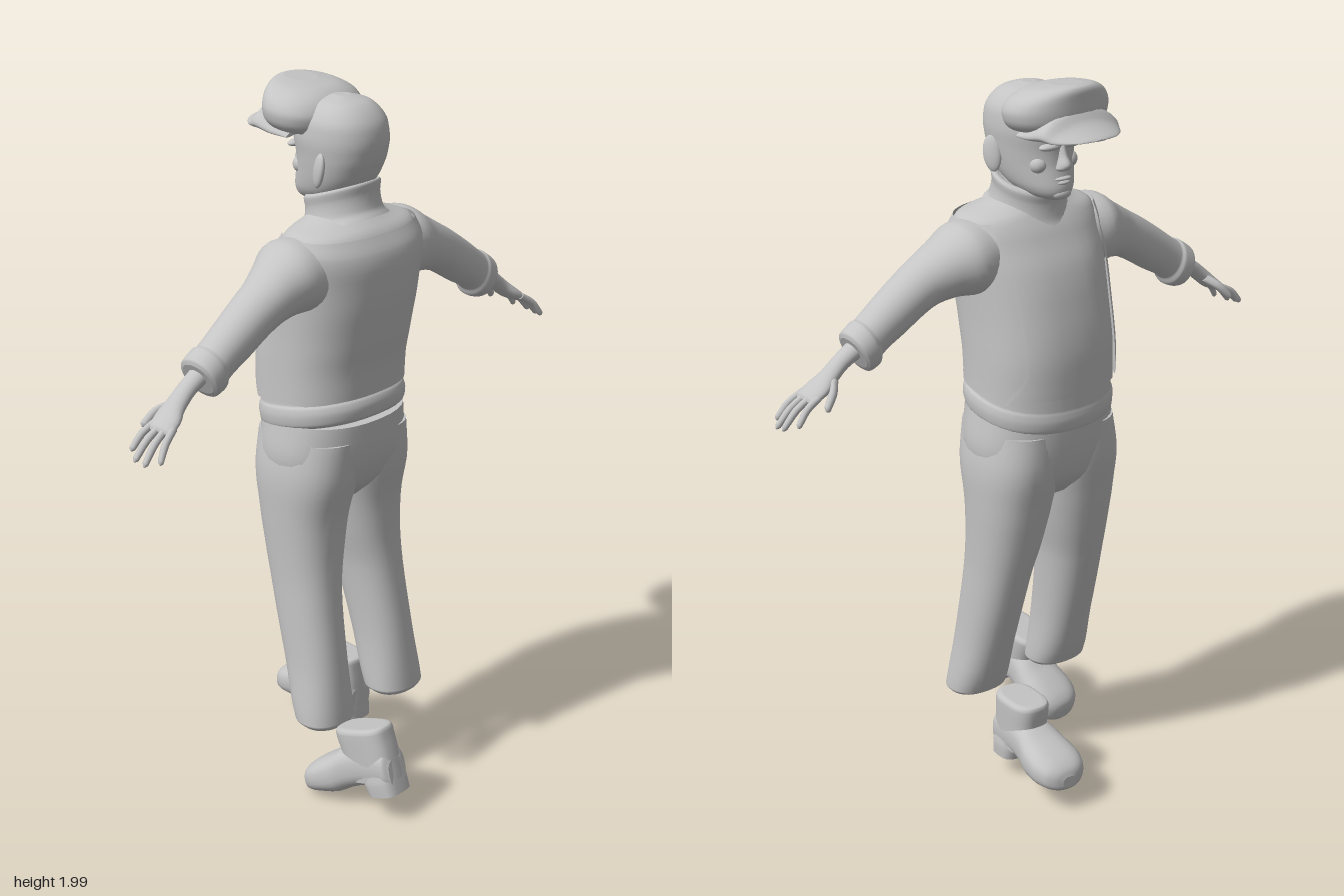
import * as THREE from 'three';

const grey = new THREE.MeshStandardMaterial({ color: 0xc4c4c4, side: THREE.DoubleSide });
grey.name = 'plain grey';

// A ring is [centre, axis u, axis v, roundness, egg taper, half sweep angle]
const ring = (c, u, v, p = 2, e = 0, a = Math.PI) => [...c, ...u, ...v, p, e, a];
// Level ring from its extents; slope tips it along x
const level = (y, x0, x1, z0, z1, p = 2, slope = 0, e = 0, a = Math.PI) => {
  const h = (x1 - x0) / 2;
  return ring([(x0 + x1) / 2, y, (z0 + z1) / 2], [h, h * slope, 0], [0, 0, (z1 - z0) / 2], p, e, a);
};
// Upright ring facing along x
const upright = (x, y0, y1, h, p = 2) =>
  ring([x, (y0 + y1) / 2, 0], [0, (y1 - y0) / 2, 0], [0, 0, h], p);

// Monotone smooth interpolation between rings
function refine(rings, sub) {
  const d = rings.slice(1).map((r, i) => Math.hypot(...r.slice(0, 9).map((v, k) => v - rings[i][k])) + 1e-5);
  const sl = (i, k) => (rings[i + 1][k] - rings[i][k]) / d[i];
  const tan = (i, k) => {
    if (i === 0) return sl(0, k);
    if (i === rings.length - 1) return sl(i - 1, k);
    const a = sl(i - 1, k), b = sl(i, k);
    return a * b > 0 ? (2 * a * b) / (a + b) : 0;
  };
  const out = [];
  for (let i = 0; i < d.length; i++)
    for (let s = 0; s < sub; s++) {
      const t = s / sub, t2 = t * t, t3 = t2 * t;
      out.push(rings[i].map((v, k) =>
        (2 * t3 - 3 * t2 + 1) * v + (t3 - 2 * t2 + t) * d[i] * tan(i, k) +
        (3 * t2 - 2 * t3) * rings[i + 1][k] + (t3 - t2) * d[i] * tan(i + 1, k)));
    }
  out.push(rings[rings.length - 1]);
  return out;
}

function loft(rings, { n = 32, sub = 4, open = false } = {}) {
  const rs = refine(rings, sub), pos = [], idx = [];
  const cols = open ? n + 1 : n;
  const se = (v, p) => Math.sign(v) * Math.abs(v) ** (2 / p);
  for (const r of rs)
    for (let j = 0; j < cols; j++) {
      const th = -r[11] + (2 * r[11] * j) / n;
      const c = se(Math.cos(th), r[9]), s = se(Math.sin(th), r[9]) * (1 - r[10] * c);
      for (let k = 0; k < 3; k++) pos.push(r[k] + r[3 + k] * c + r[6 + k] * s);
    }
  for (let i = 0; i < rs.length - 1; i++)
    for (let j = 0; j < n; j++) {
      const a = i * cols + j, b = i * cols + ((j + 1) % cols);
      idx.push(a, b, a + cols, b, b + cols, a + cols);
    }
  if (!open)
    for (const end of [0, rs.length - 1]) {
      const base = pos.length / 3;
      for (let j = 0; j < n * 3; j++) pos.push(pos[end * n * 3 + j]);
      pos.push(...rs[end].slice(0, 3));
      for (let j = 0; j < n; j++) {
        const a = base + j, b = base + ((j + 1) % n);
        idx.push(...(end ? [a, b, base + n] : [b, a, base + n]));
      }
    }
  const g = new THREE.BufferGeometry();
  g.setAttribute('position', new THREE.Float32BufferAttribute(pos, 3));
  g.setIndex(idx);
  // Turn the surface outward
  let vol = 0;
  const P = (i) => new THREE.Vector3().fromArray(pos, idx[i] * 3);
  for (let i = 0; i < idx.length; i += 3) vol += P(i).dot(P(i + 1).cross(P(i + 2)));
  if (vol < 0) flip(g);
  g.computeVertexNormals();
  return g;
}

function flip(g) {
  const a = g.index.array;
  for (let i = 0; i < a.length; i += 3) [a[i], a[i + 1]] = [a[i + 1], a[i]];
}
function mirrored(geo) {
  const g = geo.clone().scale(1, 1, -1);
  flip(g);
  g.computeVertexNormals();
  return g;
}
const blob = (x, y, z, sx, sy, sz) => new THREE.SphereGeometry(1, 20, 14).scale(sx, sy, sz).translate(x, y, z);

export function createModel() {
  const model = new THREE.Group();
  model.name = 'capped figure';
  const add = (name, geo, parent = model) => {
    const m = new THREE.Mesh(geo, grey);
    m.name = name;
    parent.add(m);
    return m;
  };
  const pair = (name, geo) => { add(name + 'Left', geo); add(name + 'Right', mirrored(geo)); };

  // Trousers
  add('hips', loft([[0.85, -0.13, 0.04, 0.08], [0.91, -0.18, 0.095, 0.19], [1.0, -0.2, 0.128, 0.214], [1.1, -0.205, 0.135, 0.2]]
    .map(([y, a, b, h]) => level(y, a, b, -h, h, 2.3))));
  pair('trouserLeg', loft([
    [0.22, 0.015, 0.13, 0.068, 0.218], [0.235, -0.005, 0.137, 0.056, 0.23], [0.4, -0.06, 0.115, 0.06, 0.215],
    [0.6, -0.115, 0.085, 0.045, 0.21], [0.72, -0.145, 0.078, 0.02, 0.212], [0.83, -0.168, 0.085, 0, 0.216],
    [0.95, -0.19, 0.112, -0.02, 0.217], [1.05, -0.19, 0.12, -0.03, 0.2],
  ].map(([y, a, b, c, d]) => level(y, a, b, c, d, 2.3))));

  // Sweater with a rolled hem
  const torso = [
    [1.16, -0.215, 0.125, 0.198], [1.24, -0.215, 0.13, 0.197], [1.33, -0.205, 0.148, 0.197], [1.42, -0.185, 0.165, 0.2],
    [1.5, -0.16, 0.172, 0.205], [1.58, -0.118, 0.166, 0.212], [1.625, -0.09, 0.14, 0.198],
  ];
  add('sweater', loft([
    ...torso.map(([y, a, b, h]) => level(y, a, b, -h, h, 2.4)),
    level(1.65, -0.075, 0.11, -0.14, 0.14), level(1.67, -0.06, 0.08, -0.09, 0.09)]));
  add('hem', loft([[1.085, -0.2, 0.13, 0.195], [1.095, -0.21, 0.138, 0.203], [1.12, -0.214, 0.14, 0.206], [1.14, -0.212, 0.134, 0.203],
    [1.15, -0.21, 0.127, 0.197], [1.2, -0.21, 0.125, 0.196]].map(([y, a, b, h]) => level(y, a, b, -h, h, 2.3, 0.17))));

  // Open-fronted vest shell with rounded lower corners
  const sweep = [2.05, 2.4, 2.4, 2.4, 2.38, 2.35, 2.2], o = 0.008;
  add('vest', loft(torso.map(([y, a, b, h], i) =>
    level(y, a - o, b + o, -h - o, h + o, 2.4, i ? 0 : 0.1, 0, sweep[i])), { n: 48, open: true }));

  // Roll collar, tipped down at the front
  add('collar', loft([[1.625, -0.115, 0.12, 0.13], [1.65, -0.1, 0.105, 0.108], [1.69, -0.096, 0.098, 0.101], [1.715, -0.1, 0.1, 0.104],
    [1.724, -0.094, 0.095, 0.098], [1.72, -0.08, 0.08, 0.085], [1.68, -0.075, 0.075, 0.08]]
    .map(([y, a, b, h]) => level(y, a, b, -h, h, 2, 0.33))));

  // Sleeves, given by top edge, bottom edge and width
  pair('sleeve', loft([
    [0.13, 1.625, 0.13, 1.43, -0.09, 0.12], [0.22, 1.627, 0.2, 1.43, -0.1, 0.118], [0.29, 1.588, 0.26, 1.432, -0.072, 0.105],
    [0.36, 1.545, 0.33, 1.415, -0.046, 0.096], [0.45, 1.487, 0.42, 1.362, -0.037, 0.087], [0.535, 1.425, 0.49, 1.32, -0.034, 0.08],
    [0.55, 1.422, 0.5, 1.3, -0.042, 0.084], [0.58, 1.4, 0.53, 1.289, -0.042, 0.082], [0.582, 1.385, 0.54, 1.3, -0.03, 0.07],
  ].map(([zt, yt, zb, yb, a, b]) =>
    ring([(a + b) / 2, (yt + yb) / 2, (zt + zb) / 2], [(b - a) / 2, 0, 0], [0, (yt - yb) / 2, (zt - zb) / 2], 2.1))));

  // Hands
  const limb = (pts, n) => loft(pts.map(([x, y, z, w, t]) =>
    ring([x, y, z], [w, 0, 0], [0, 0.79 * t, 0.61 * t])), { n, sub: 3 });
  pair('hand', limb([[0.02, 1.36, 0.54, 0.03, 0.028], [0.02, 1.328, 0.6, 0.027, 0.022], [0.02, 1.296, 0.64, 0.031, 0.021],
    [0.025, 1.268, 0.675, 0.043, 0.019], [0.029, 1.25, 0.703, 0.043, 0.014], [0.029, 1.244, 0.711, 0.034, 0.007]], 20));
  const digit = (name, a, b, c, r) => pair(name, limb([[...a, r, r], [...b, r, r],
    [...c.map((v, i) => v * 0.85 + b[i] * 0.15), r * 0.85, r * 0.85], [...c, r * 0.25, r * 0.25]], 10));
  [[-0.006, -0.018, 1.198, 0.763], [0.019, 0.018, 1.185, 0.786], [0.042, 0.051, 1.18, 0.784], [0.063, 0.085, 1.188, 0.762]]
    .forEach(([x0, x1, y, z], i) => digit('finger' + (i + 1), [x0, 1.258, 0.69],
      [(x0 + x1) / 2, (1.258 + y) / 2 + 0.008, (0.69 + z) / 2 + 0.004], [x1, y, z], 0.01));
  digit('thumb', [0, 1.295, 0.635], [-0.032, 1.272, 0.662], [-0.048, 1.235, 0.695], 0.012);

  // Head and face
  add('head', loft([
    [1.678, -0.125, -0.06, 0.025], [1.69, -0.142, -0.01, 0.055], [1.715, -0.148, 0.05, 0.078], [1.745, -0.142, 0.085, 0.09],
    [1.78, -0.136, 0.105, 0.098], [1.82, -0.138, 0.12, 0.104], [1.86, -0.145, 0.126, 0.108], [1.9, -0.135, 0.12, 0.105],
    [1.935, -0.11, 0.098, 0.088], [1.957, -0.075, 0.068, 0.063], [1.97, -0.02, 0.02, 0.02],
  ].map(([y, a, b, h]) => level(y, a, b, -h, h, 2.15, 0, -0.12))));
  add('neck', new THREE.CylinderGeometry(0.075, 0.078, 0.16, 24).translate(0.01, 1.69, 0));
  add('nose', loft([[1.757, -0.14, -0.115, 0.012], [1.766, -0.16, -0.11, 0.021], [1.778, -0.166, -0.11, 0.018],
    [1.8, -0.153, -0.11, 0.012], [1.828, -0.142, -0.11, 0.01]].map(([y, a, b, h]) => level(y, a, b, -h, h)), { n: 16 }));
  add('upperLip', blob(-0.138, 1.739, 0, 0.013, 0.006, 0.026));
  add('lowerLip', blob(-0.138, 1.728, 0, 0.013, 0.007, 0.022));
  add('chin', blob(-0.132, 1.697, 0, 0.018, 0.016, 0.03));
  pair('brow', blob(-0.128, 1.826, 0.035, 0.018, 0.01, 0.034));
  pair('cheek', blob(-0.098, 1.775, 0.05, 0.026, 0.024, 0.024));
  pair('ear', new THREE.SphereGeometry(1, 20, 14).scale(0.026, 0.048, 0.012)
    .rotateY(-0.45).rotateZ(-0.2).translate(0.018, 1.79, 0.11));

  // Flat cap with a full front and a peak
  add('capCrown', loft([[1.872, -0.175, -0.04, 0.1], [1.878, -0.2, -0.015, 0.122], [1.9, -0.212, 0, 0.142], [1.925, -0.214, 0.004, 0.147],
    [1.95, -0.214, -0.005, 0.138], [1.973, -0.214, -0.025, 0.112], [1.987, -0.208, -0.055, 0.08], [1.994, -0.195, -0.1, 0.04]]
    .map(([y, a, b, h]) => level(y, a, b, -h, h, 2.25, -0.09))));
  const peak = loft([upright(-0.09, 1.868, 1.89, 0.118), upright(-0.15, 1.862, 1.92, 0.128), upright(-0.2, 1.862, 1.938, 0.126),
    upright(-0.23, 1.868, 1.907, 0.113), upright(-0.262, 1.872, 1.889, 0.085), upright(-0.282, 1.871, 1.88, 0.052), upright(-0.29, 1.871, 1.875, 0.015)]);
  const pp = peak.attributes.position;
  for (let i = 0; i < pp.count; i++) pp.setY(i, pp.getY(i) - 1.3 * pp.getZ(i) ** 2);
  peak.computeVertexNormals();
  add('capPeak', peak);

  // Ankle boots, one flat and one with the heel lifted
  const foot = loft([upright(-0.002, 0.02, 0.1, 0.035, 2.6), upright(-0.015, 0.02, 0.13, 0.05, 2.6), upright(-0.1, 0.022, 0.14, 0.056, 2.6),
    upright(-0.15, 0.014, 0.135, 0.062, 2.6), upright(-0.2, 0, 0.115, 0.074, 2.6), upright(-0.25, 0, 0.098, 0.078, 2.6),
    upright(-0.29, 0.001, 0.08, 0.066, 2.6), upright(-0.31, 0.004, 0.062, 0.042, 2.6), upright(-0.317, 0.012, 0.045, 0.02, 2.6)]);
  const shaft = loft([[0.04, -0.16, 0, 0.052], [0.12, -0.165, -0.002, 0.055], [0.18, -0.172, -0.006, 0.057], [0.192, -0.168, -0.01, 0.052],
    [0.195, -0.155, -0.02, 0.042]].map(([y, a, b, h]) => level(y, a, b, -h, h, 2.8)));
  const heel = loft([[0, -0.092, 0.002, 0.053], [0.035, -0.1, 0, 0.055], [0.06, -0.1, -0.002, 0.052]]
    .map(([y, a, b, h]) => level(y, a, b, -h, h, 3.2)));
  for (const [name, pos, tilt, yaw] of [['bootRight', [-0.043, 0.07, -0.125], 0, -0.07], ['bootLeft', [0.35, 0.093, 0.138], 0.28, 0.07]]) {
    const boot = new THREE.Group();
    boot.name = name;
    add('foot', foot, boot);
    add('shaft', shaft, boot);
    add('heel', heel, boot);
    boot.position.set(...pos);
    boot.rotation.set(0, yaw, tilt, 'ZYX');
    model.add(boot);
  }
  return model;
}
